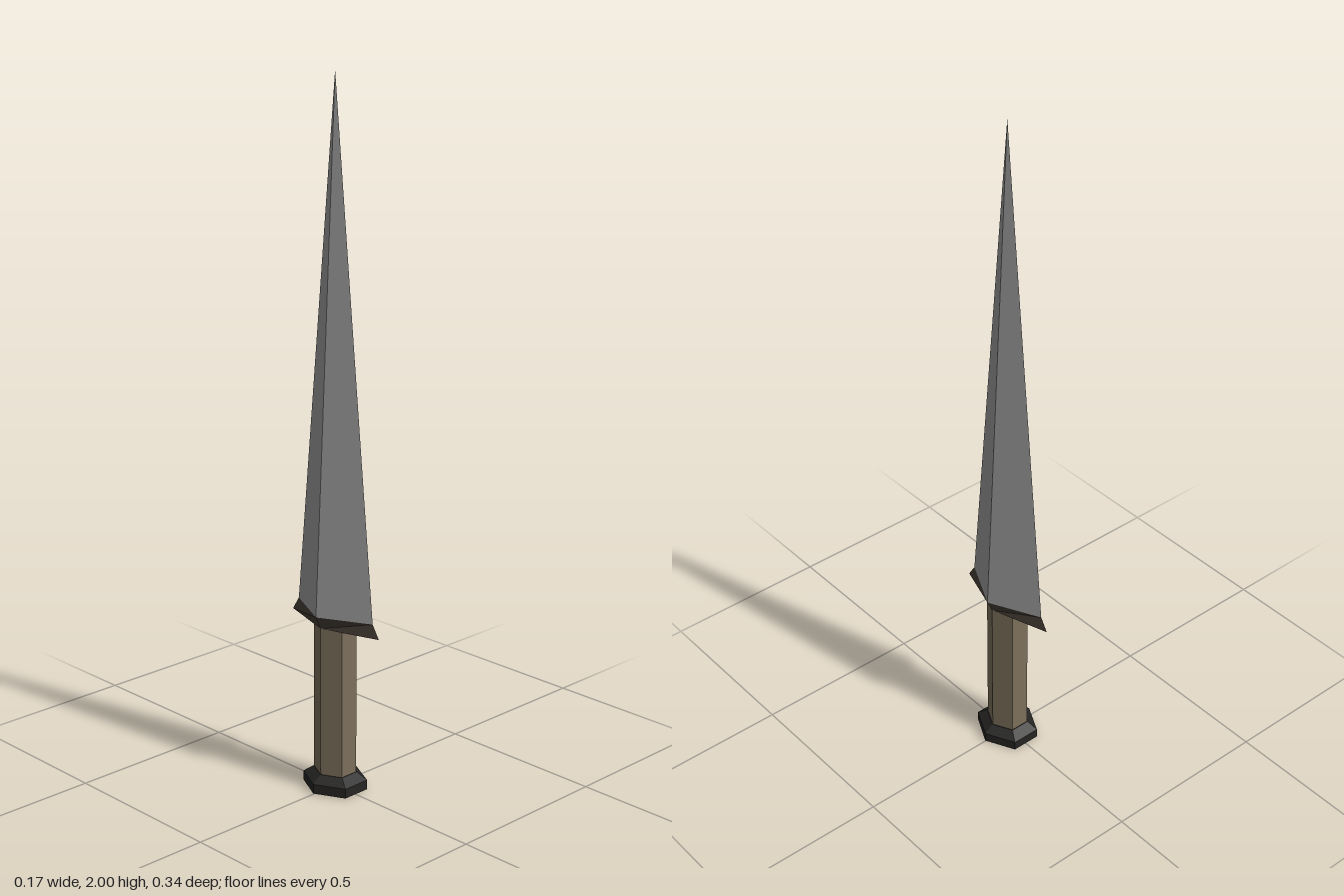
import * as THREE from 'three';

const flat = (name, hex) => {
  const m = new THREE.MeshStandardMaterial({ color: hex });
  m.name = name;
  return m;
};

// Outlines with unit half-widths in x and z
const diamond = [[1, 0], [0, -1], [-1, 0], [0, 1]];
const hexagon = [[1, 0], [0.5, -1], [-0.5, -1], [-1, 0], [-0.5, 1], [0.5, 1]];

// Faceted solid through sections [y, half-width x, half-width z], bottom to top
function loft(outline, sections) {
  const pos = [];
  const n = outline.length;
  const rings = sections.map(([y, rx, rz]) => outline.map(([x, z]) => [x * rx, y, z * rz]));
  const tri = (a, b, c) => pos.push(...a, ...b, ...c);
  for (let i = 0; i < n; i++) {
    const j = (i + 1) % n;
    for (let k = 0; k < rings.length - 1; k++) {
      const a = rings[k], b = rings[k + 1];
      tri(a[i], a[j], b[j]);
      if (sections[k + 1][1] > 0) tri(a[i], b[j], b[i]);
    }
    const last = rings.length - 1;
    tri([0, sections[0][0], 0], rings[0][j], rings[0][i]);
    if (sections[last][1] > 0) tri([0, sections[last][0], 0], rings[last][i], rings[last][j]);
  }
  const g = new THREE.BufferGeometry();
  g.setAttribute('position', new THREE.Float32BufferAttribute(pos, 3));
  g.computeVertexNormals();
  return g;
}

export function createModel() {
  const group = new THREE.Group();
  const steel = flat('steel', 0x9c9c9c);
  const wood = flat('wood', 0x7d705b);
  const bronze = flat('dark bronze', 0x453d35);
  const iron = flat('black iron', 0x262524);

  const add = (name, outline, sections, material) => {
    const mesh = new THREE.Mesh(loft(outline, sections), material);
    mesh.name = name;
    group.add(mesh);
  };

  // Four-sided blade tapering to a point
  add('blade', diamond, [[0.525, 0.073, 0.146], [2, 0, 0]], steel);
  // Guard: wider towards the tips below, narrower across
  add('guard', diamond, [[0.487, 0.055, 0.17], [0.525, 0.073, 0.146]], bronze);
  // Six-sided grip
  add('grip', hexagon, [[0.045, 0.056, 0.056], [0.5, 0.056, 0.056]], wood);
  // Pommel with bevelled top
  add('pommel', hexagon, [[0.002, 0.085, 0.085], [0.03, 0.085, 0.085], [0.051, 0.058, 0.058]], iron);
  // End of the grip showing under the pommel
  add('gripEnd', hexagon, [[0, 0.02, 0.02], [0.004, 0.02, 0.02]], wood);
  return group;
}
